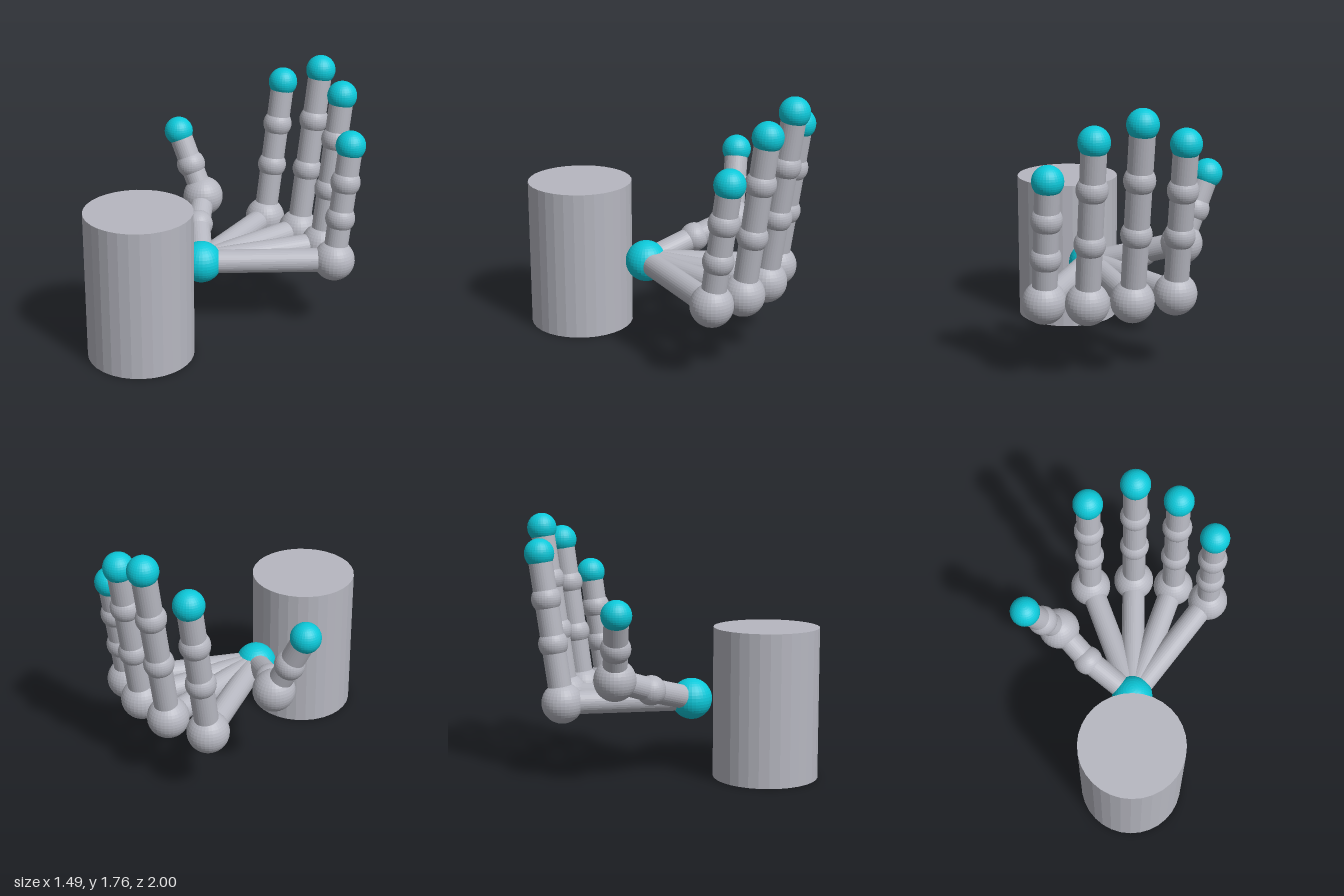
import * as THREE from 'three';

const grey = new THREE.MeshStandardMaterial({ name: 'grey', color: 0xb6b7c0, flatShading: true });
const teal = new THREE.MeshStandardMaterial({ name: 'teal', color: 0x0cc8d9, flatShading: true });

const KNUCKLE = 0.14, JOINT = 0.1, BONE = 0.08;
const UP = new THREE.Vector3(0, 1, 0);

function ball(name, p, radius, material) {
  const mesh = new THREE.Mesh(new THREE.SphereGeometry(radius, 32, 20), material);
  mesh.name = name;
  mesh.position.copy(p);
  return mesh;
}

// Cylinder running between two points
function bone(name, a, b) {
  const dir = b.clone().sub(a);
  const mesh = new THREE.Mesh(new THREE.CylinderGeometry(BONE, BONE, dir.length(), 32), grey);
  mesh.name = name;
  mesh.position.copy(a).lerp(b, 0.5);
  mesh.quaternion.setFromUnitVectors(UP, dir.normalize());
  return mesh;
}

// Chain of bones from the wrist; a joint ball at every point, teal at the tip
function digit(name, wrist, points, knuckleIndex) {
  const group = new THREE.Group();
  group.name = name;
  let previous = wrist;
  points.forEach((p, i) => {
    group.add(bone('bone', previous, p));
    if (i === points.length - 1) group.add(ball('fingertip', p, JOINT, teal));
    else if (i === knuckleIndex) group.add(ball('knuckle', p, KNUCKLE, grey));
    else group.add(ball('joint', p, JOINT, grey));
    previous = p;
  });
  return group;
}

export function createModel() {
  const model = new THREE.Group();
  model.name = 'jointedHand';

  // Forearm
  const forearm = new THREE.Mesh(new THREE.CylinderGeometry(0.355, 0.355, 1.02, 32), grey);
  forearm.name = 'forearm';
  forearm.position.set(0.07, 0.51, 0.645);
  model.add(forearm);

  // Wrist
  const wrist = new THREE.Vector3(0.07, 0.513, 0.138);
  model.add(ball('wrist', wrist, KNUCKLE, teal));

  // Fingers: x, knuckle z, tip z, heights of the two joints and the tip
  const fingers = [
    ['indexFinger', -0.238, -0.685, -0.83, [0.91, 1.21, 1.51]],
    ['middleFinger', 0.07, -0.735, -0.9, [0.96, 1.31, 1.66]],
    ['ringFinger', 0.353, -0.695, -0.837, [0.91, 1.26, 1.56]],
    ['littleFinger', 0.6, -0.585, -0.695, [0.81, 1.06, 1.31]],
  ];
  for (const [name, x, z0, z1, heights] of fingers) {
    const y0 = wrist.y, y1 = heights[2];
    const points = [y0, ...heights].map(
      (y) => new THREE.Vector3(x, y, z0 + ((z1 - z0) * (y - y0)) / (y1 - y0)));
    model.add(digit(name, wrist, points, 0));
  }

  // Thumb
  const thumb = [
    [-0.24, 0.62, -0.078],
    [-0.442, 0.717, -0.275],
    [-0.543, 0.937, -0.245],
    [-0.645, 1.165, -0.215],
  ].map((p) => new THREE.Vector3(...p));
  model.add(digit('thumb', wrist, thumb, 1));

  return model;
}
